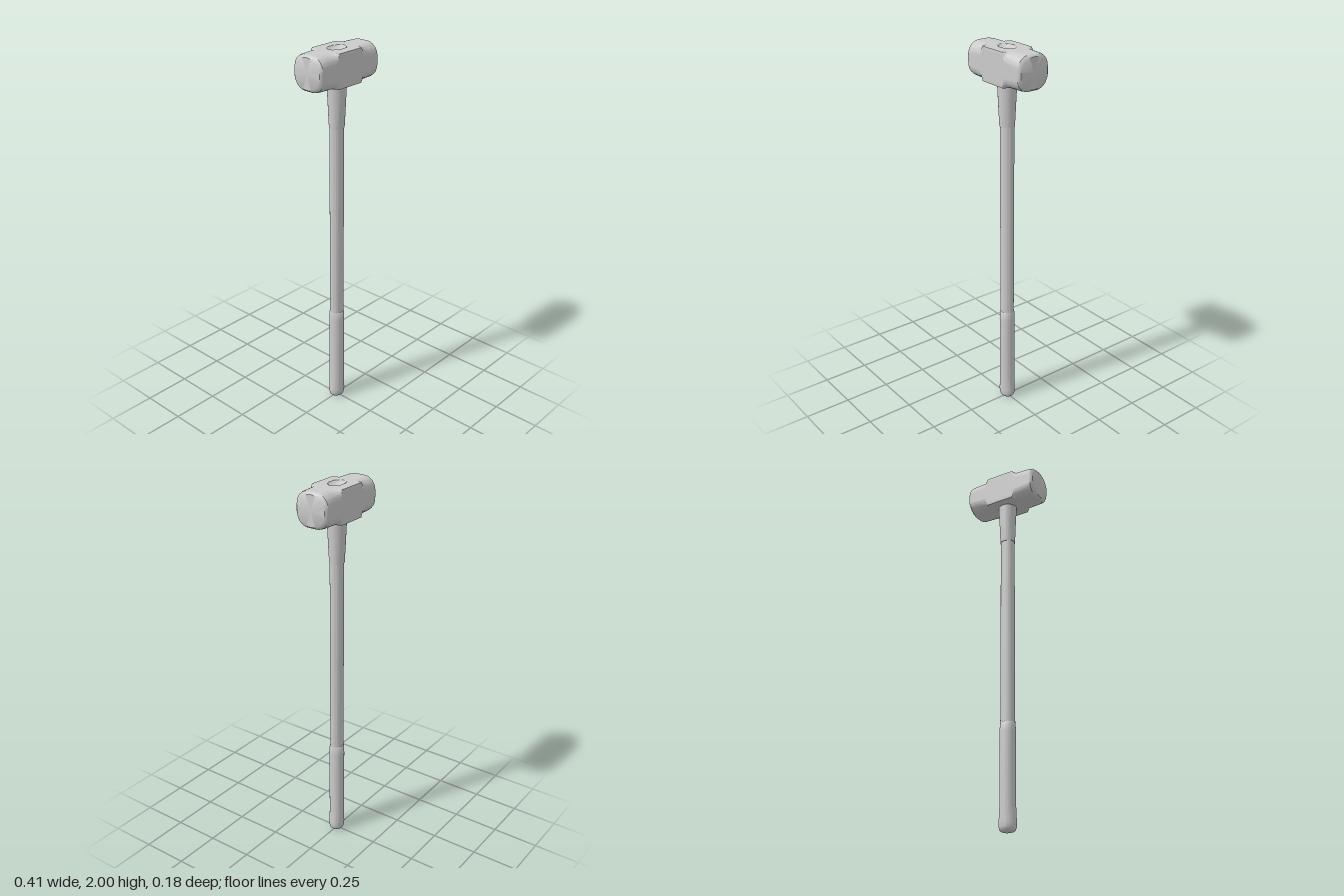
import * as THREE from 'three';
import { toCreasedNormals } from 'three/addons/utils/BufferGeometryUtils.js';

// Skin a list of rings (counter-clockwise about the axis) and cap both ends.
function loft(rings, crease) {
  const n = rings[0].length;
  const pos = rings.flat(2);
  const idx = [];
  for (let i = 0; i < rings.length - 1; i++) {
    for (let j = 0; j < n; j++) {
      const k = (j + 1) % n;
      const a = i * n + j, b = i * n + k, c = b + n, d = a + n;
      idx.push(a, b, c, a, c, d);
    }
  }
  [0, rings.length - 1].forEach((r, end) => {
    const centre = [0, 1, 2].map(c => rings[r].reduce((s, p) => s + p[c], 0) / n);
    const m = pos.length / 3;
    pos.push(...centre);
    for (let j = 0; j < n; j++) {
      const a = r * n + j, b = r * n + (j + 1) % n;
      if (end) idx.push(m, a, b); else idx.push(m, b, a);
    }
  });
  const geo = new THREE.BufferGeometry();
  geo.setAttribute('position', new THREE.Float32BufferAttribute(pos, 3));
  geo.setIndex(idx);
  return toCreasedNormals(geo, crease);
}

// Square ring of half size h with corner radius r, lying across x.
function squareRing(x, h, r, perSide = 24) {
  const ring = [];
  for (let s = 0; s < 4; s++) {
    for (let i = 0; i < perSide; i++) {
      const t = h * (2 * i / perSide - 1);
      const [py, pz] = [[h, t], [-t, h], [-h, -t], [t, -h]][s];
      const k = h - r;
      const qy = THREE.MathUtils.clamp(py, -k, k);
      const qz = THREE.MathUtils.clamp(pz, -k, k);
      const len = Math.hypot(py - qy, pz - qz);
      let y = qy + (py - qy) / len * r;
      const z = (qz + (pz - qz) / len * r) * 1.03;
      // shallow oval recess in the top of the eye
      const e = (x / 0.053) ** 2 + (z / 0.036) ** 2;
      if (s === 0 && e < 1) y -= 0.014 * Math.sqrt(1 - e);
      ring.push([x, y + 1.9125, z]);
    }
  }
  return ring;
}

// Oval rings stacked up the y axis from [y, half width x, half depth z].
function ovalLoft(sections, n = 40) {
  const rings = sections.map(([y, rx, rz]) => Array.from({ length: n }, (_, j) => {
    const a = j / n * Math.PI * 2;
    return [rx * Math.cos(a), y, -rz * Math.sin(a)];
  }));
  return loft(rings, 0.7);
}

export function createModel() {
  const group = new THREE.Group();
  const material = new THREE.MeshStandardMaterial({ color: 0xcccccc, roughness: 0.7 });
  const add = (name, geo) => {
    const mesh = new THREE.Mesh(geo, material);
    mesh.name = name;
    group.add(mesh);
  };

  // Head: square middle, rounded cheeks, bevelled round striking faces
  const half = [
    [0.078, 0.0875, 0.005], [0.084, 0.0875, 0.02], [0.09, 0.0875, 0.038],
    [0.098, 0.0875, 0.05], [0.14, 0.0875, 0.053], [0.18, 0.0875, 0.057],
    [0.194, 0.0873, 0.064], [0.201, 0.084, 0.072], [0.207, 0.078, 0.0775],
  ];
  const rings = half.map(([x, h, r]) => squareRing(-x, h, r)).reverse();
  for (let i = -12; i <= 12; i++) rings.push(squareRing(i * 0.006, 0.0875, 0.005));
  rings.push(...half.map(([x, h, r]) => squareRing(x, h, r)));
  add('head', loft(rings, 0.6));

  // Handle: flared collar, slim oval shaft, grip with a swollen butt
  add('collar', ovalLoft([
    [1.6, 0.041, 0.037], [1.66, 0.043, 0.041], [1.74, 0.046, 0.045], [1.84, 0.052, 0.049],
  ]));
  add('shaft', ovalLoft([[0.53, 0.039, 0.034], [1.62, 0.039, 0.034]]));
  add('grip', ovalLoft([
    [0, 0.026, 0.022], [0.003, 0.034, 0.03], [0.01, 0.041, 0.036], [0.022, 0.045, 0.039],
    [0.04, 0.046, 0.04], [0.06, 0.045, 0.04], [0.09, 0.0425, 0.04], [0.13, 0.041, 0.04],
    [0.3, 0.041, 0.04], [0.5, 0.041, 0.04], [0.545, 0.0405, 0.038], [0.55, 0.039, 0.034],
  ]));
  return group;
}
